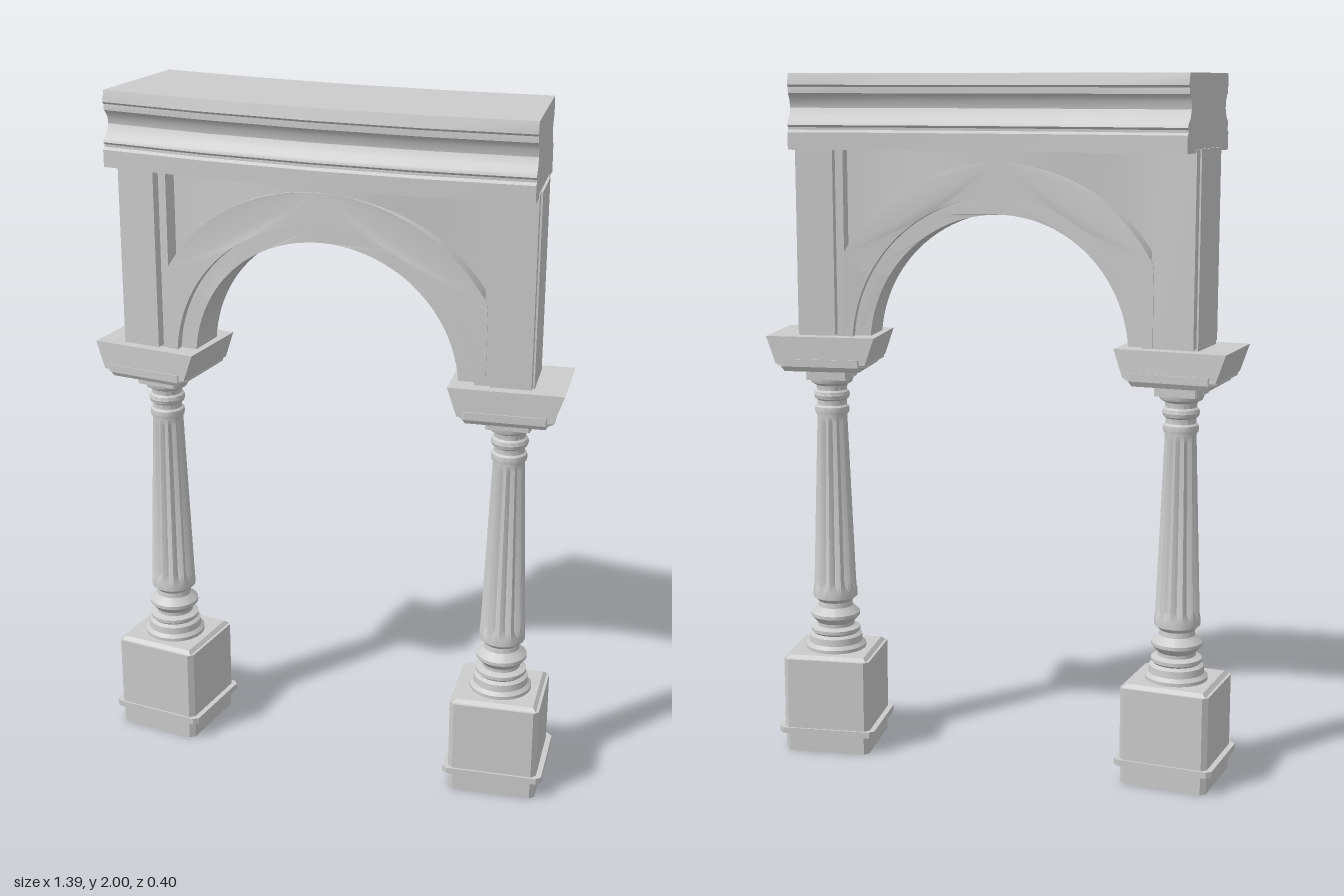
import * as THREE from 'three';
import { toCreasedNormals } from 'three/addons/utils/BufferGeometryUtils.js';

const R = 4.8;          // plan radius of the curved bay
const ZC = 0.02;        // centre line of wall and columns
const SPRING = 1.225;   // centre height of the arch
const material = new THREE.MeshStandardMaterial({ color: 0xcccccc });

// Move every vertex by a rule
function warp(geometry, rule) {
  const p = geometry.attributes.position;
  const v = new THREE.Vector3();
  for (let i = 0; i < p.count; i++) {
    v.fromBufferAttribute(p, i);
    rule(v);
    p.setXYZ(i, v.x, v.y, v.z);
  }
  return geometry;
}

// Wrap straight parts around the plan curve
function bend(v) {
  const a = v.x / R, r = R + v.z;
  v.x = r * Math.sin(a);
  v.z = r * Math.cos(a) - R;
}

function add(parent, name, geometry, crease = 0.5) {
  const mesh = new THREE.Mesh(toCreasedNormals(geometry, crease), material);
  mesh.name = name;
  parent.add(mesh);
  return mesh;
}

// Rectangle with chamfered corners
function chamfered(hx, hz, c, Type = THREE.Shape) {
  return new Type([
    [hx - c, -hz], [hx, -hz + c], [hx, hz - c], [hx - c, hz],
    [-hx + c, hz], [-hx, hz - c], [-hx, -hz + c], [-hx + c, -hz],
  ].map(([x, y]) => new THREE.Vector2(x, y)));
}

// Upright block from y0 to y1, optionally hollow
function block(hx, hz, y0, y1, c, hole) {
  const shape = chamfered(hx, hz, c);
  if (hole) shape.holes.push(chamfered(hole, hole, 0.004, THREE.Path));
  return new THREE.ExtrudeGeometry(shape, { depth: y1 - y0, bevelEnabled: false })
    .rotateX(-Math.PI / 2).translate(0, y0, 0);
}

// Four-sided block that changes size from bottom to top
function flare(bx, bz, tx, tz, y0, y1) {
  return warp(new THREE.BoxGeometry(2, y1 - y0, 2).translate(0, (y0 + y1) / 2, 0), (v) => {
    const top = v.y > (y0 + y1) / 2;
    v.x *= top ? tx : bx;
    v.z *= top ? tz : bz;
  });
}

function column() {
  const g = new THREE.Group();
  g.name = 'column';

  // Plinth, open underneath
  add(g, 'plinthFoot', block(0.128, 0.126, 0, 0.06, 0.014, 0.1));
  add(g, 'plinthBand', block(0.146, 0.134, 0.055, 0.073, 0.014, 0.1));
  add(g, 'plinthDie', block(0.13, 0.128, 0.07, 0.285, 0.014));
  add(g, 'plinthTop', flare(0.122, 0.12, 0.112, 0.11, 0.285, 0.295));

  // Base mouldings
  const turned = (pts) => new THREE.LatheGeometry(pts.map(([r, y]) => new THREE.Vector2(r, y)), 48);
  add(g, 'baseMoulding', turned([
    [0, 0.29], [0.09, 0.29], [0.09, 0.305], [0.08, 0.315], [0.078, 0.335], [0.067, 0.342],
    [0.073, 0.348], [0.073, 0.358], [0.055, 0.365], [0.055, 0.375], [0.073, 0.395],
    [0.073, 0.405], [0.052, 0.425], [0.05, 0.44], [0.062, 0.452], [0.064, 0.465], [0, 0.465],
  ]));

  // Fluted tapering shaft
  const shaft = turned([[0.066, 0.455], [0.066, 0.475], [0.0645, 0.5], [0.046, 0.99], [0.045, 1.01], [0.045, 1.03]]);
  warp(shaft, (v) => {
    if (v.y < 0.49 || v.y > 1.0) return;
    const k = 1 - 0.16 * (0.5 - 0.5 * Math.cos(12 * Math.atan2(v.z, v.x)));
    v.x *= k;
    v.z *= k;
  });
  add(g, 'shaft', shaft, 0.6);

  // Neck mouldings
  add(g, 'neckMoulding', turned([
    [0, 1.015], [0.049, 1.015], [0.051, 1.025], [0.049, 1.035], [0.043, 1.04], [0.043, 1.055],
    [0.05, 1.06], [0.053, 1.07], [0.05, 1.08], [0.044, 1.085], [0.046, 1.1], [0.06, 1.108],
    [0.064, 1.118], [0.064, 1.125], [0, 1.125],
  ]));

  // Stepped capital that flares towards its ends
  add(g, 'capitalNeck', block(0.062, 0.062, 1.12, 1.155, 0.004));
  add(g, 'capitalStep', flare(0.11, 0.11, 0.12, 0.12, 1.152, 1.17));
  add(g, 'capitalBed', block(0.132, 0.127, 1.168, 1.19, 0.02));
  add(g, 'capital', flare(0.132, 0.124, 0.16, 0.122, 1.175, 1.255));
  return g;
}

// Arch ring; its outside is cut off where it meets the piers
function archRing(inner, outer, half) {
  const n = 48, pts = [];
  for (let i = 0; i <= n; i++) {
    const a = Math.PI * i / n;
    pts.push(new THREE.Vector2(
      THREE.MathUtils.clamp(outer * Math.cos(a), -0.462, 0.462), SPRING + outer * Math.sin(a)));
  }
  for (let i = n; i >= 0; i--) {
    const a = Math.PI * i / n;
    pts.push(new THREE.Vector2(inner * Math.cos(a), SPRING + inner * Math.sin(a)));
  }
  const geo = new THREE.ExtrudeGeometry(new THREE.Shape(pts), { depth: half * 2, bevelEnabled: false });
  return warp(geo.translate(0, 0, ZC - half), bend);
}

// Straight bent box between x0 and x1
function wallBox(x0, x1, y0, y1, half, z = ZC) {
  return warp(new THREE.BoxGeometry(x1 - x0, y1 - y0, half * 2)
    .translate((x0 + x1) / 2, (y0 + y1) / 2, z), bend);
}

export function createModel() {
  const model = new THREE.Group();
  model.name = 'archBay';

  for (const s of [-1, 1]) {
    const side = s > 0 ? 'left' : 'right';
    const x = 0.522;

    // Columns turn with the plan curve
    const col = column();
    col.name = side + 'Column';
    const at = new THREE.Vector3(s * x, 0, ZC);
    bend(at);
    col.position.copy(at);
    col.rotation.y = s * x / R;
    model.add(col);

    // Pier core with a pilaster strip on front and back
    const span = (a, b) => (s > 0 ? [a, b] : [-b, -a]);
    add(model, side + 'Pier', wallBox(...span(0.455, 0.593), 1.25, 1.8, 0.082));
    for (const f of [-1, 1]) {
      add(model, side + (f > 0 ? 'FrontPilaster' : 'BackPilaster'),
        wallBox(...span(0.478, 0.588), 1.262, 1.8, 0.02, ZC + f * 0.09));
    }
  }

  // Arch: raised archivolt and set-back inner band
  add(model, 'archivolt', archRing(0.433, 0.53, 0.085));
  add(model, 'innerArchBand', archRing(0.385, 0.44, 0.062));

  // Spandrel wall, hollowing out towards the corners
  const spandrel = new THREE.BoxGeometry(0.92, 1, 1, 32, 1, 1);
  warp(spandrel, (v) => {
    const archY = SPRING + Math.sqrt(0.5 ** 2 - v.x ** 2);
    v.y = v.y < 0 ? archY : 1.8;
    v.z = ZC + v.z * 2 * (0.082 - 0.047 * THREE.MathUtils.smoothstep(Math.abs(v.x), 0.05, 0.45));
    bend(v);
  });
  add(model, 'spandrel', spandrel);

  // Cornice: moulded front and back, swept in four straight facets
  const edge = [
    [0.184, 1.79], [0.184, 1.838], [0.176, 1.845], [0.176, 1.852], [0.182, 1.858], [0.178, 1.868],
    [0.162, 1.882], [0.153, 1.905], [0.156, 1.925], [0.166, 1.94], [0.172, 1.945], [0.172, 1.962],
    [0.178, 1.968], [0.17, 2],
  ];
  const outline = [
    ...edge.map(([d, y]) => new THREE.Vector2(d, y)),
    ...edge.slice().reverse().map(([d, y]) => new THREE.Vector2(-d, y)),
  ];
  const cornice = new THREE.ExtrudeGeometry(new THREE.Shape(outline), { depth: 1.172, steps: 4, bevelEnabled: false })
    .rotateY(Math.PI / 2).translate(-0.586, 0, 0.016);
  add(model, 'cornice', warp(cornice, bend));

  return model;
}
